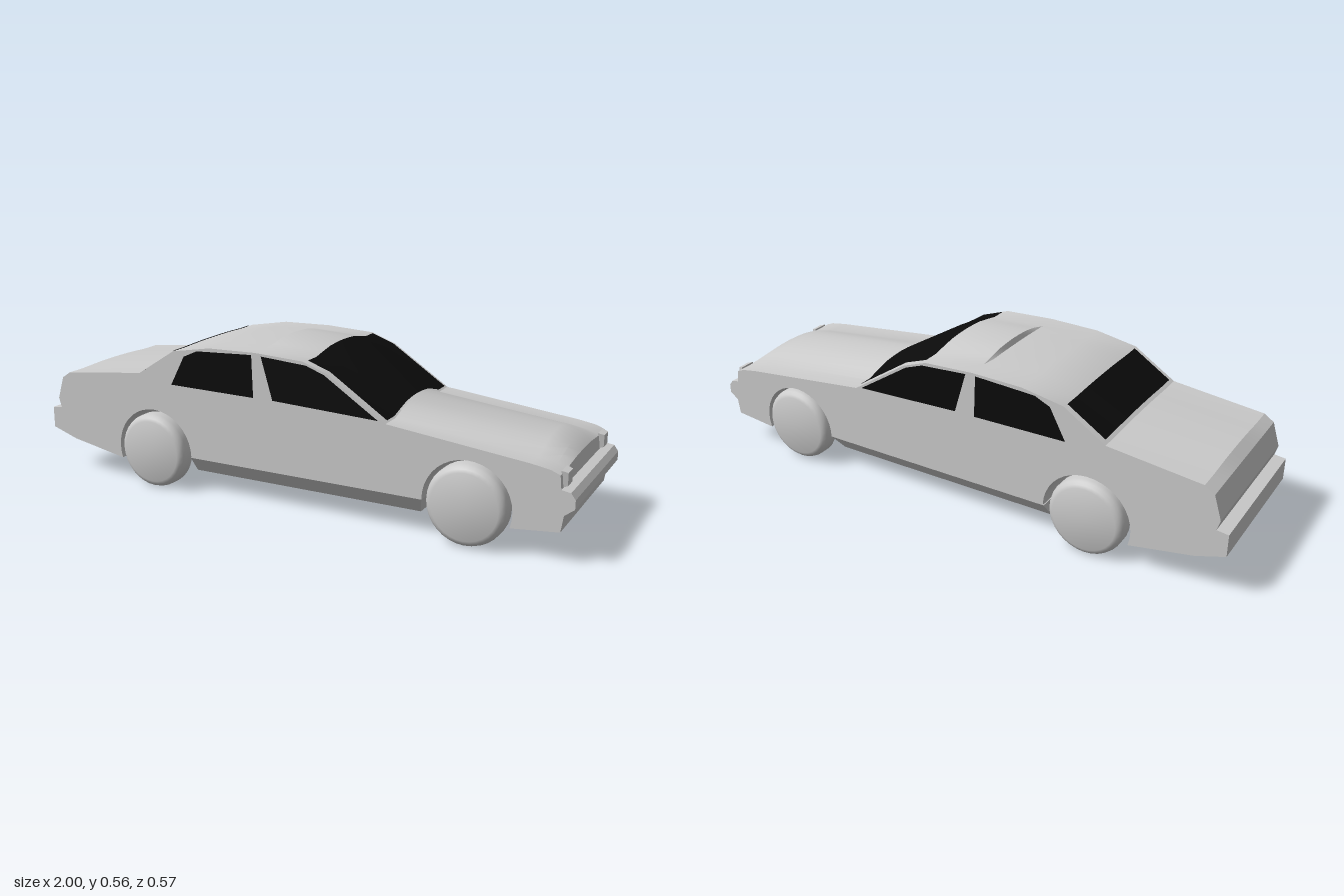
import * as THREE from 'three';
import { toCreasedNormals } from 'three/addons/utils/BufferGeometryUtils.js';

const HALF = 0.265;
const paint = new THREE.MeshStandardMaterial({ color: 0xcccccc, side: THREE.DoubleSide });
const glass = new THREE.MeshStandardMaterial({ color: 0x0b0b0b, side: THREE.DoubleSide });

function mesh(name, geometry, material = paint) {
  const m = new THREE.Mesh(geometry, material);
  m.name = name;
  return m;
}

// Wheel arch as outline points, from one angle to another (degrees)
function arch(cx, cy, r, from, to, n = 20) {
  return Array.from({ length: n + 1 }, (_, i) => {
    const a = THREE.MathUtils.degToRad(from + ((to - from) * i) / n);
    return [cx + r * Math.cos(a), cy + r * Math.sin(a)];
  });
}

// Skin across the car along rows of [x, edge height, crown height]
function skin(rows, half, closed) {
  const zs = [-half, -0.19, -0.14, -0.09, -0.045, 0, 0.045, 0.09, 0.14, 0.19, half];
  const lift = [0, 0, 0.42, 0.8, 0.94, 1, 0.94, 0.8, 0.42, 0, 0];
  const pos = [], index = [], n = zs.length;
  for (const [x, y, crown = 0] of rows) zs.forEach((z, k) => pos.push(x, y + crown * lift[k], z));
  const count = closed ? rows.length : rows.length - 1;
  for (let i = 0; i < count; i++) {
    const j = (i + 1) % rows.length;
    for (let k = 0; k < n - 1; k++) {
      const a = i * n + k, b = j * n + k;
      index.push(a, b, b + 1, a, b + 1, a + 1);
    }
  }
  const g = new THREE.BufferGeometry();
  g.setAttribute('position', new THREE.Float32BufferAttribute(pos, 3));
  g.setIndex(index);
  return toCreasedNormals(g, 0.45);
}

function flatPanel(points, z) {
  const shape = new THREE.Shape(points.map(([x, y]) => new THREE.Vector2(x, y)));
  return new THREE.ShapeGeometry(shape).translate(0, 0, z);
}

export function createModel() {
  const car = new THREE.Group();
  car.name = 'car';
  const body = new THREE.Group();
  body.name = 'body';
  body.position.z = -0.005;
  car.add(body);

  // Body outline, over the top from nose to tail and back underneath
  const outline = [
    [0.96, 0.105], [0.968, 0.16], [1, 0.185], [1, 0.215], [0.985, 0.235], [0.955, 0.24],
    [0.95, 0.285, 0.01], [0.92, 0.297, 0.025], [0.86, 0.307, 0.04], [0.38, 0.362, 0.034],
    [0.17, 0.5, 0.02], [0.08, 0.532, 0.024],
    [-0.1, 0.541, 0.023], [-0.108, 0.541, 0.004], [-0.286, 0.537, 0.004],
    [-0.436, 0.511, 0.004], [-0.585, 0.416, 0.004], [-0.91, 0.38, 0.006],
    [-0.944, 0.357], [-0.97, 0.275], [-0.96, 0.24],
    [-1, 0.235], [-1, 0.158], [-0.9, 0.125],
    ...arch(-0.53, 0.13, 0.157, 197, 0),
    ...arch(0.66, 0.135, 0.15, 182, -18),
  ];
  body.add(mesh('bodyShell', skin(outline, HALF, true)));
  for (const s of [1, -1]) {
    body.add(mesh(s > 0 ? 'rightSidePanel' : 'leftSidePanel', flatPanel(outline, s * HALF)));
  }

  // Sill and floor, tucked in towards the bottom
  const sill = new THREE.BoxGeometry(0.886, 0.06, 2 * HALF).translate(0.067, 0.1, 0);
  const p = sill.attributes.position;
  for (let i = 0; i < p.count; i++) {
    if (p.getY(i) < 0.1) {
      p.setZ(i, Math.sign(p.getZ(i)) * 0.217);
      p.setX(i, p.getX(i) > 0 ? 0.49 : -0.38);
    }
  }
  sill.computeVertexNormals();
  body.add(mesh('sill', sill));

  // Windscreen and rear window follow the crown, just above the shell
  body.add(mesh('windscreen', skin([
    [0.377, 0.369, 0.034], [0.172, 0.504, 0.02], [0.09, 0.533, 0.023],
  ], 0.246, false), glass));
  body.add(mesh('rearWindow', skin([
    [-0.44, 0.512, 0.004], [-0.575, 0.426, 0.004],
  ], 0.246, false), glass));

  // Door windows
  const doorWindows = {
    rearDoorWindow: [[-0.447, 0.39], [-0.11, 0.385], [-0.115, 0.533], [-0.335, 0.522], [-0.39, 0.497]],
    frontDoorWindow: [[-0.035, 0.385], [0.355, 0.369], [0.16, 0.496], [0.094, 0.52], [-0.078, 0.532]],
  };
  for (const [name, points] of Object.entries(doorWindows)) {
    for (const s of [1, -1]) body.add(mesh(name, flatPanel(points, s * (HALF + 0.002)), glass));
  }

  // Headlights with a bevelled front
  for (const s of [1, -1]) {
    const lamp = new THREE.CylinderGeometry(0.0295, 0.0375, 0.02, 4, 1)
      .rotateY(Math.PI / 4).rotateZ(-Math.PI / 2).scale(1, 1, 1.15).toNonIndexed();
    lamp.computeVertexNormals();
    const light = mesh('headlight', lamp);
    light.position.set(0.957, 0.266, s * 0.215);
    body.add(light);
  }

  // Wheels with rounded shoulders
  const profile = [
    [0, -0.034], [0.125, -0.034], [0.135, -0.028], [0.135, 0.008],
    [0.131, 0.02], [0.123, 0.029], [0.112, 0.034], [0, 0.034],
  ].map(([r, h]) => new THREE.Vector2(r, h));
  const wheel = toCreasedNormals(new THREE.LatheGeometry(profile, 32).rotateX(Math.PI / 2), 0.6);
  for (const [name, x, y] of [['frontWheel', 0.662, 0.139], ['rearWheel', -0.53, 0.136]]) {
    for (const s of [1, -1]) {
      const w = mesh(name, wheel);
      w.position.set(x, y, s * 0.252);
      if (s < 0) w.rotation.y = Math.PI;
      car.add(w);
    }
  }
  return car;
}
